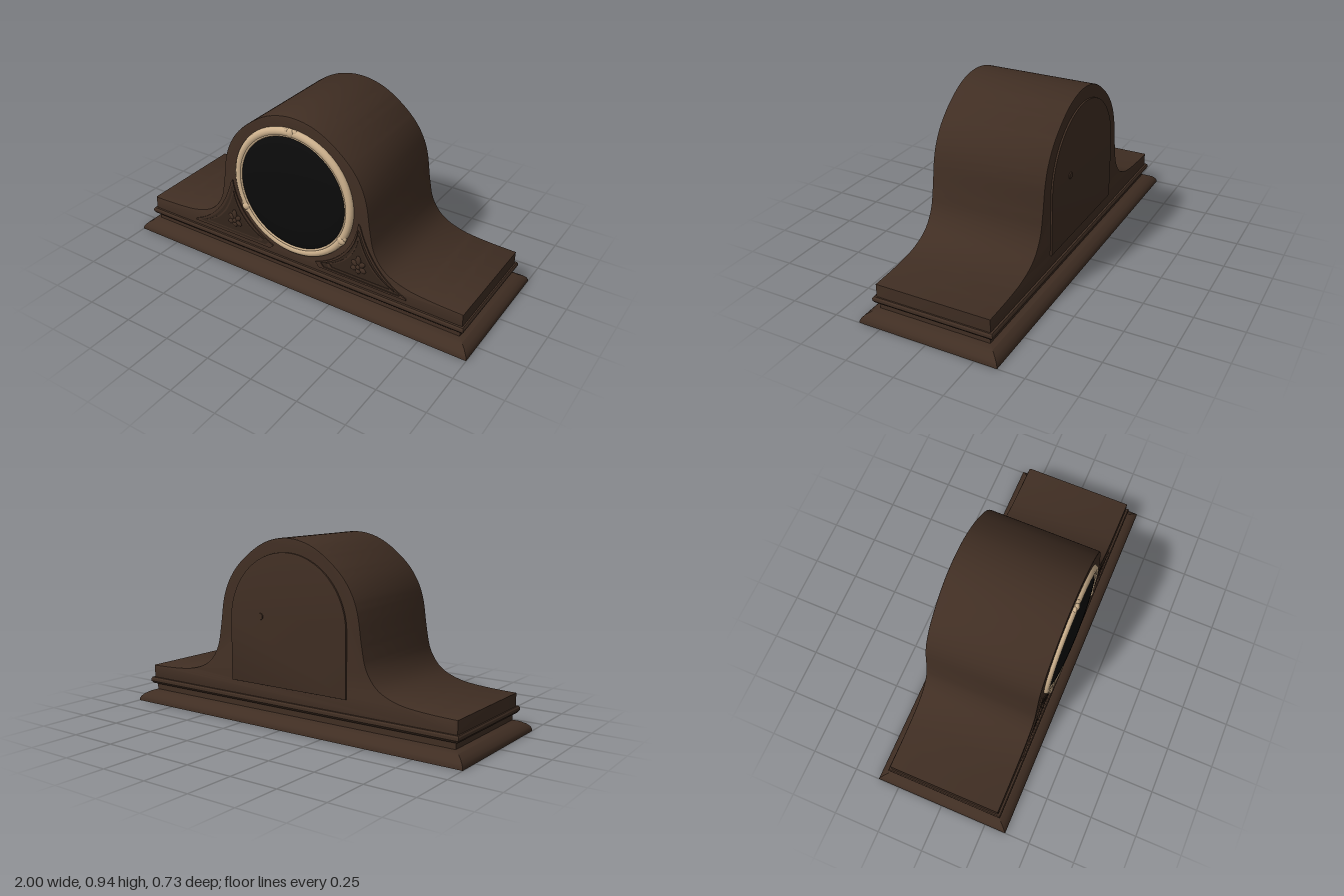
import * as THREE from 'three';
import { toCreasedNormals } from 'three/addons/utils/BufferGeometryUtils.js';

const V = (x, y) => new THREE.Vector2(x, y);

export function createModel() {
  const root = new THREE.Group();
  const mat = (name, color) => {
    const m = new THREE.MeshStandardMaterial({ color });
    m.name = name;
    return m;
  };
  const wood = mat('dark walnut', 0x402e23);
  const carved = mat('shaded walnut', 0x33251c);
  const cream = mat('aged cream', 0xcdb18d);
  const glass = mat('black glass', 0x0b0b0b);

  const add = (name, geo, material, x = 0, y = 0, z = 0, parent = root) => {
    const mesh = new THREE.Mesh(geo, material);
    mesh.name = name;
    mesh.position.set(x, y, z);
    parent.add(mesh);
    return mesh;
  };
  const extrude = (shape, depth, bevel) => toCreasedNormals(new THREE.ExtrudeGeometry(shape, {
    depth: depth - 2 * bevel, bevelEnabled: bevel > 0, bevelSize: bevel, bevelThickness: bevel,
    bevelOffset: -bevel, bevelSegments: 2, curveSegments: 32,
  }).translate(0, 0, bevel), 0.5);

  // Moulded plinth: a four-sided lathe stretched sideways into a rectangle
  const profile = [[0.001, 0], [0.365, 0], [0.365, 0.008], [0.358, 0.024], [0.342, 0.04], [0.318, 0.053],
    [0.292, 0.061], [0.292, 0.094], [0.308, 0.096], [0.317, 0.108], [0.317, 0.122], [0.312, 0.13], [0.001, 0.13]];
  const plinth = new THREE.LatheGeometry(profile.map(([d, y]) => V(d * Math.SQRT2, y)), 4, Math.PI / 4);
  const pos = plinth.attributes.position;
  for (let i = 0; i < pos.count; i++) pos.setX(i, pos.getX(i) + Math.sign(pos.getX(i)) * 0.635);
  add('plinth', toCreasedNormals(plinth, 0.5), wood);

  // Humped case: half outline mirrored, then extruded front to back
  const half = [[0.94, 0.197], [0.78, 0.203], [0.64, 0.22], [0.53, 0.266], [0.465, 0.35], [0.438, 0.46],
    [0.414, 0.61], [0.375, 0.71], [0.31, 0.795], [0.21, 0.875], [0.11, 0.923]];
  const outline = [...half, [0, 0.94], ...half.slice().reverse().map(([x, y]) => [-x, y])];
  const caseShape = new THREE.Shape();
  caseShape.moveTo(-0.94, 0.125);
  caseShape.lineTo(0.94, 0.125);
  caseShape.lineTo(0.94, 0.197);
  new THREE.SplineCurve(outline.map(([x, y]) => V(x, y))).getPoints(110)
    .slice(1).forEach((p) => caseShape.lineTo(p.x, p.y));
  add('case', extrude(caseShape, 0.604, 0.006), wood, 0, 0, -0.302);

  // Round dial: cream bezel, thin rim and domed glass
  const dial = new THREE.Group();
  dial.name = 'dial';
  dial.position.set(0, 0.535, 0.302);
  root.add(dial);
  add('bezel', new THREE.TorusGeometry(0.327, 0.022, 12, 72).scale(1, 1, 0.9), cream, 0, 0, 0.002, dial);
  add('bezelRim', new THREE.TorusGeometry(0.309, 0.006, 6, 72), cream, 0, 0, 0.012, dial);
  const dome = new THREE.SphereGeometry(0.308, 64, 10, 0, Math.PI * 2, 0, Math.PI / 2).rotateX(Math.PI / 2);
  add('domedGlass', dome.scale(1, 1, 0.032 / 0.308), glass, 0, 0, 0.006, dial);

  // Three shell clasps on the bezel
  for (const a of [90, 210, 330]) {
    const clasp = new THREE.Group();
    clasp.name = 'bezelClasp';
    clasp.rotation.z = THREE.MathUtils.degToRad(a - 90);
    dial.add(clasp);
    add('claspBoss', new THREE.SphereGeometry(0.022, 16, 10).scale(1, 1.1, 0.65), cream, 0, 0.331, 0.012, clasp);
    for (const s of [-1, 1]) {
      const lobe = add('claspLobe', new THREE.SphereGeometry(0.014, 12, 8).scale(1.4, 0.8, 0.8), cream,
        s * 0.022, 0.339, 0.009, clasp);
      lobe.rotation.z = s * -0.5;
    }
  }

  // Three-cornered carved panels beside the dial
  const panelPoints = (side) => {
    const pts = [];
    const a0 = Math.atan2(-0.045, 0.375), a1 = Math.atan2(-0.355, 0.13);
    for (let i = 0; i <= 12; i++) {
      const a = a0 + (a1 - a0) * i / 12;
      pts.push(V(0.378 * Math.cos(a), 0.535 + 0.378 * Math.sin(a)));
    }
    pts.push(V(0.15, 0.156), V(0.645, 0.156));
    const edge = new THREE.QuadraticBezierCurve(V(0.645, 0.164), V(0.455, 0.24), V(0.385, 0.48));
    pts.push(...edge.getPoints(10));
    return pts.map((p) => V(p.x * side, p.y));
  };
  const inset = (pts, side, k) => pts.map((p) => V(0.375 * side + (p.x - 0.375 * side) * k, 0.235 + (p.y - 0.235) * k));
  for (const side of [-1, 1]) {
    const panel = new THREE.Group();
    panel.name = side > 0 ? 'leftCarvedPanel' : 'rightCarvedPanel';
    root.add(panel);
    const pts = panelPoints(side);
    const frame = (outer, inner) => {
      const s = new THREE.Shape(inset(pts, side, outer));
      s.holes.push(new THREE.Path(inset(pts, side, inner)));
      return s;
    };
    add('panelFrame', extrude(frame(1, 0.87), 0.008, 0), wood, 0, 0, 0.3, panel);
    add('panelField', extrude(new THREE.Shape(inset(pts, side, 0.9)), 0.003, 0), carved, 0, 0, 0.3, panel);
    add('panelBead', extrude(frame(0.74, 0.66), 0.006, 0), wood, 0, 0, 0.3, panel);

    // Leaf spray
    for (const [deg, len] of [[0, 0.05], [50, 0.036], [-50, 0.036], [115, 0.036], [-115, 0.036], [180, 0.03]]) {
      const leaf = new THREE.SphereGeometry(1, 10, 8).scale(0.014, len * 0.55, 0.008).translate(0, len * 0.75, 0);
      add('carvedLeaf', leaf, wood, 0.378 * side, 0.243, 0.303, panel).rotation.z = THREE.MathUtils.degToRad(deg);
    }
    add('leafBud', new THREE.SphereGeometry(0.013, 10, 8).scale(1, 1, 0.7), wood, 0.378 * side, 0.243, 0.305, panel);
  }

  // Arched back door with a small round catch
  const door = new THREE.Shape();
  door.moveTo(-0.355, 0.198);
  door.lineTo(0.355, 0.198);
  door.lineTo(0.355, 0.515);
  door.absarc(0, 0.515, 0.355, 0, Math.PI, false);
  door.closePath();
  add('backDoor', extrude(door, 0.012, 0.002), wood, 0, 0, -0.311);
  add('doorCatch', new THREE.CylinderGeometry(0.016, 0.018, 0.008, 20).rotateX(-Math.PI / 2), wood, 0.16, 0.545, -0.312);

  return root;
}
